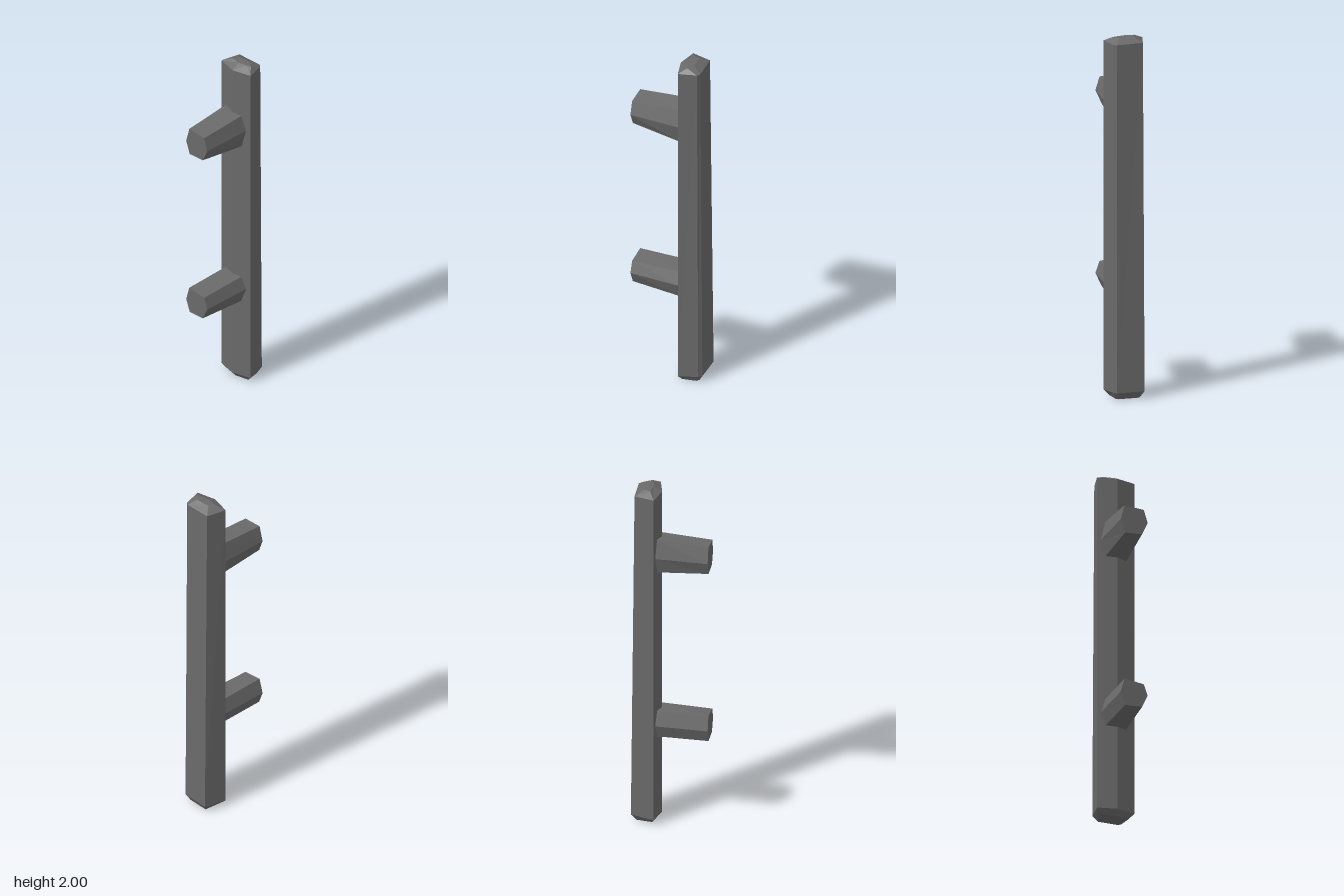
import * as THREE from 'three';

// Skins a list of cross-sections (each counter-clockwise seen from the last one) and closes both ends.
function loft(rings) {
  const pos = [];
  const tri = (a, b, c) => pos.push(...a, ...b, ...c);
  const n = rings[0].length;
  const centre = (ring) => [0, 1, 2].map((k) => ring.reduce((s, p) => s + p[k], 0) / n);
  const first = rings[0], last = rings[rings.length - 1];
  const c0 = centre(first), c1 = centre(last);
  for (let i = 0; i < n; i++) {
    const j = (i + 1) % n;
    for (let r = 0; r < rings.length - 1; r++) {
      const a = rings[r], b = rings[r + 1];
      tri(a[i], a[j], b[j]);
      tri(a[i], b[j], b[i]);
    }
    tri(c0, first[j], first[i]);
    tri(c1, last[i], last[j]);
  }
  const g = new THREE.BufferGeometry();
  g.setAttribute('position', new THREE.Float32BufferAttribute(pos, 3));
  g.computeVertexNormals();
  return g;
}

export function createModel() {
  const group = new THREE.Group();
  group.name = 'doorHandle';
  const metal = new THREE.MeshStandardMaterial({ color: 0x6a6a6a, flatShading: true });
  metal.name = 'darkGreyMetal';

  const add = (name, geometry) => {
    const mesh = new THREE.Mesh(geometry, metal);
    mesh.name = name;
    group.add(mesh);
  };

  // Upright grip: pointed front, tapering back, one chamfered back corner, bevelled ends
  const level = (y, pts) => pts.map(([x, z]) => [x, y, z]);
  const bottomRim = level(0.035, [[-0.108, -0.081], [0, -0.055], [0.107, -0.083], [0.085, -0.192], [0.068, -0.209], [-0.084, -0.209]]);
  for (const i of [3, 4, 5]) bottomRim[i][1] = 0.045;
  add('gripBar', loft([
    level(0.004, [[-0.072, -0.095], [0, -0.08], [0.078, -0.097], [0.066, -0.172], [0.052, -0.184], [-0.062, -0.184]]),
    bottomRim,
    level(1.975, [[-0.108, -0.081], [0, -0.055], [0.107, -0.083], [0.082, -0.183], [0.065, -0.195], [-0.08, -0.19]]),
    level(2.0, [[-0.055, -0.11], [0, -0.104], [0.05, -0.113], [0.072, -0.122], [0.04, -0.15], [-0.043, -0.145]]),
  ]));

  // Six-sided mounting posts, widening towards the grip
  const post = (y, back, front) => loft([
    back.map(([x, dy]) => [x, y + dy, -0.075]),
    front.map(([x, dy]) => [x, y + dy, 0.208]),
  ]);
  add('upperPost', post(1.61,
    [[-0.088, 0], [-0.062, -0.094], [0.055, -0.105], [0.08, 0.002], [0.053, 0.09], [-0.065, 0.106]],
    [[-0.088, -0.002], [-0.062, -0.075], [0.035, -0.07], [0.068, 0.002], [0.045, 0.076], [-0.065, 0.085]]));
  add('lowerPost', post(0.595,
    [[-0.088, 0], [-0.062, -0.074], [0.052, -0.083], [0.08, 0.002], [0.053, 0.072], [-0.065, 0.08]],
    [[-0.088, -0.002], [-0.062, -0.074], [0.035, -0.07], [0.068, 0.002], [0.045, 0.066], [-0.065, 0.08]]));
  return group;
}
